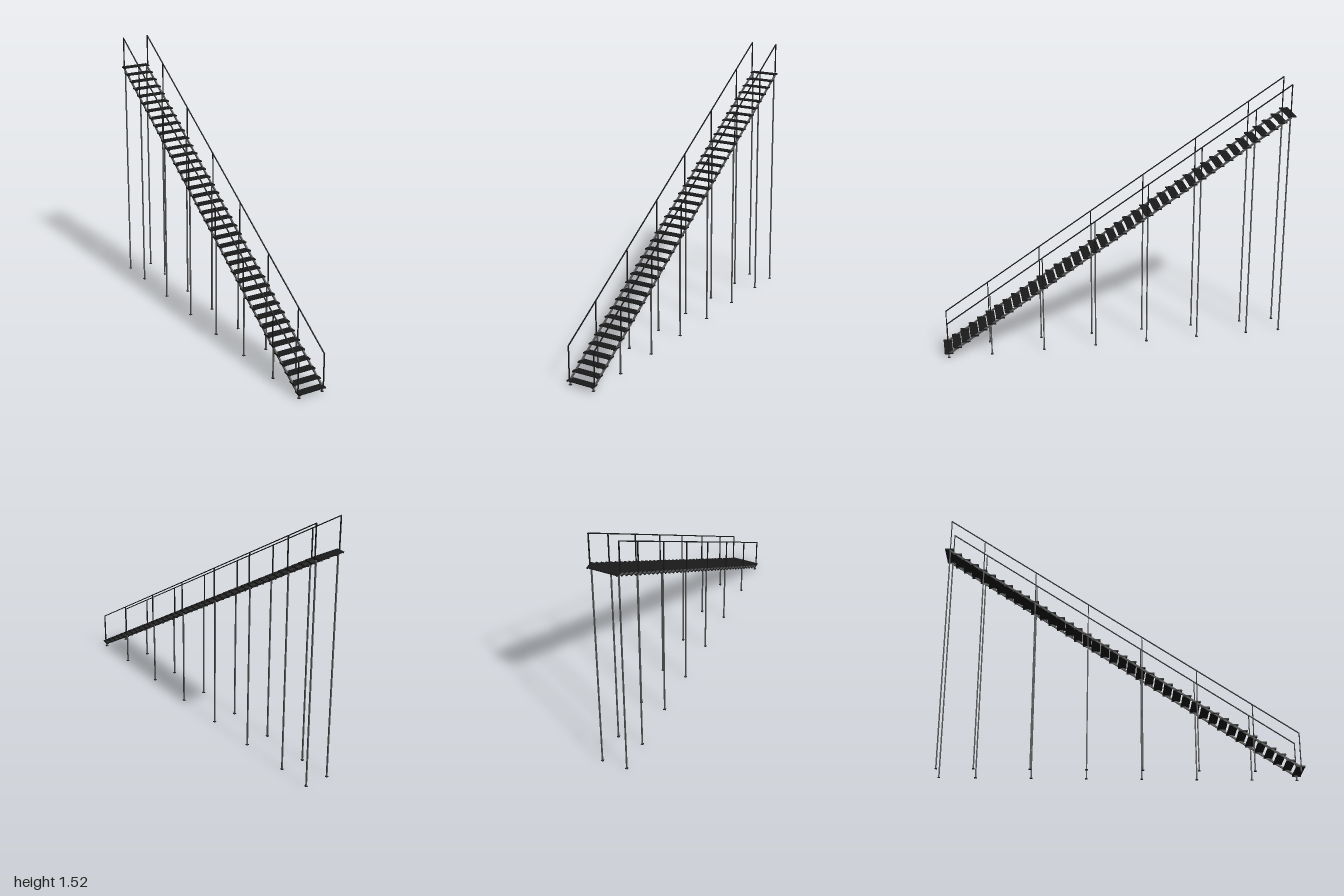
import * as THREE from 'three';

const STEPS = 40, RUN = 0.05, RISE = 1 / 30;
const Z0 = 0.975;
const treadY = (z) => RISE + (Z0 - z) * RISE / RUN; // walking line of the flight
const RAIL = 0.185; // handrail height above the walking line

function material(name, color) {
  const m = new THREE.MeshStandardMaterial({ color });
  m.name = name;
  return m;
}

export function createModel() {
  const model = new THREE.Group();
  const black = material('black steel', 0x1a1a1a);
  const grey = material('grey steel', 0x555555);

  function box(name, mat, w, h, d, x, y, z) {
    const mesh = new THREE.Mesh(new THREE.BoxGeometry(w, h, d), mat);
    mesh.name = name;
    mesh.position.set(x, y, z);
    model.add(mesh);
    return mesh;
  }

  // Sloping bar whose centre line follows the flight, shifted up by dy
  function slopedBar(name, mat, w, h, x, dy, zA, zB) {
    const yA = treadY(zA) + dy, yB = treadY(zB) + dy;
    const bar = box(name, mat, w, h, Math.hypot(zA - zB, yB - yA), x, (yA + yB) / 2, (zA + zB) / 2);
    bar.rotation.x = Math.atan2(yB - yA, zA - zB);
  }

  // Treads with a thicker cap at each end
  for (let i = 0; i < STEPS; i++) {
    const z = Z0 - i * RUN, y = treadY(z);
    box('tread', black, 0.15, 0.005, 0.0475, 0, y - 0.0025, z);
    for (const s of [-1, 1]) box('treadEndCap', black, 0.007, 0.008, 0.0485, s * 0.0785, y - 0.004, z);
  }

  const postZ = [0.976, 0.73, 0.43, 0.13, -0.17, -0.47, -0.77, -0.968];
  for (const s of [-1, 1]) {
    // Stringer and handrail on each side
    slopedBar('stringer', grey, 0.008, 0.01, s * 0.077, -0.008, 0.978, -0.972);
    slopedBar('handrail', black, 0.006, 0.005, s * 0.08, RAIL, 0.978, -0.97);

    for (const z of postZ) {
      const y = treadY(z);
      // Supporting leg with its foot plate
      const legHeight = y - 0.006;
      box('leg', grey, 0.007, legHeight, 0.007, s * 0.073, legHeight / 2, z);
      box('footPlate', black, 0.014, 0.003, 0.014, s * 0.073, 0.0015, z);
      // Railing post, standing on the stringer
      box('railingPost', black, 0.006, RAIL + 0.006, 0.005, s * 0.08, y + (RAIL - 0.006) / 2, z);
    }
  }
  return model;
}
